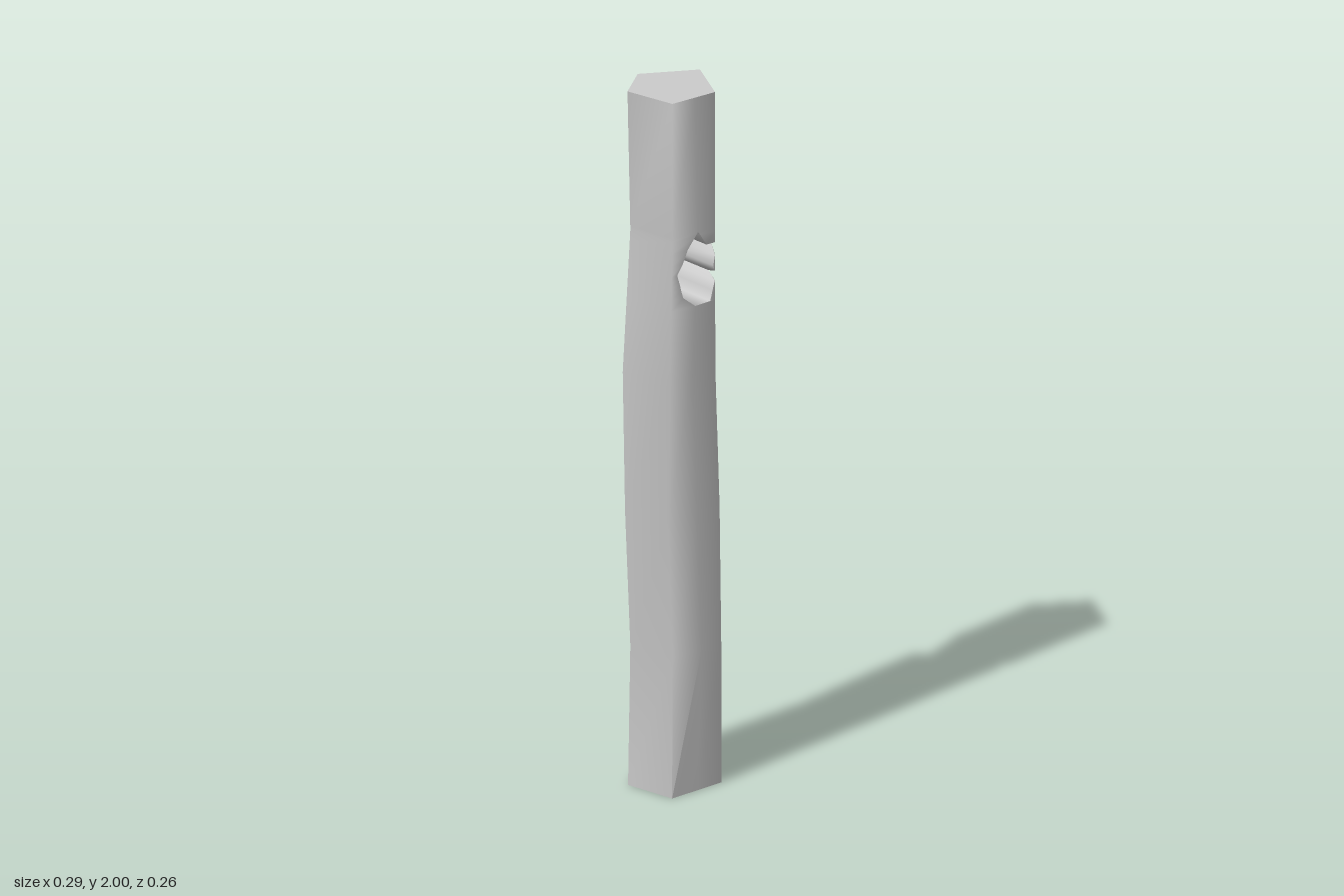
import * as THREE from 'three';
import { toCreasedNormals } from 'three/addons/utils/BufferGeometryUtils.js';

// Five-sided cross-sections [x, z]: front left, front right, right, back, left
const RINGS = [
  [[-0.095, 0.13], [0.09, 0.115], [0.12, -0.03], [0, -0.12], [-0.118, -0.03]],
  [[-0.085, 0.12], [0.09, 0.115], [0.14, -0.04], [0.02, -0.13], [-0.11, -0.03]],
  [[-0.1, 0.12], [0.08, 0.12], [0.132, -0.04], [0, -0.105], [-0.137, -0.02]],
  [[-0.095, 0.12], [0.065, 0.12], [0.092, -0.045], [-0.015, -0.115], [-0.145, -0.02]],
  [[-0.09, 0.125], [0.06, 0.125], [0.12, -0.04], [0, -0.12], [-0.11, -0.03]],
  [[-0.09, 0.125], [0.06, 0.125], [0.143, -0.04], [-0.01, -0.12], [-0.12, -0.03]],
];
const STEP = 0.4;

// Ragged hole, bottom to top: [y, left x, right x]
const HOLE = [
  [1.4, -0.01, 0.045], [1.43, -0.05, 0.053], [1.455, -0.058, 0.06],
  [1.47, -0.062, 0.075], [1.485, -0.067, 0.06], [1.5, -0.072, 0.055],
  [1.53, -0.052, 0.06], [1.563, -0.037, 0.074], [1.567, -0.035, 0.03],
  [1.6, -0.008, 0.008],
];
const HOLE_BOTTOM = 1.398, HOLE_TOP = 1.61;

function ringAt(y) {
  const i = Math.min(Math.floor(y / STEP + 1e-6), RINGS.length - 2);
  const t = y / STEP - i;
  return RINGS[i].map((p, k) => p.map((v, c) => v + (RINGS[i + 1][k][c] - v) * t));
}

// Point on the edge a-b at a given x
const onEdge = (a, b, x) => [x, a[1] + ((b[1] - a[1]) * (x - a[0])) / (b[0] - a[0])];

// One level of the post, split into a left and a right loop around the hole
function makeRow(y, x0, x1) {
  const [fl, fr, r, b, l] = ringAt(y);
  const xl = Math.min(x0 ?? b[0], b[0]);
  const xr = Math.max(x1 ?? b[0], b[0]);
  const cornerCut = xr > fr[0];
  const frontCut = cornerCut ? onEdge(fr, r, xr) : onEdge(fl, fr, xr);
  const lift = (p) => new THREE.Vector3(p[0], y, p[1]);
  return {
    y,
    left: [onEdge(l, b, xl), l, fl, onEdge(fl, fr, xl)].map(lift),
    right: [frontCut, cornerCut ? frontCut : fr, r, onEdge(b, r, xr)].map(lift),
  };
}

function postGeometry() {
  const positions = [];
  const tri = (a, b, c) => {
    const area = b.clone().sub(a).cross(c.clone().sub(a)).length();
    if (area > 1e-9) for (const p of [a, b, c]) positions.push(p.x, p.y, p.z);
  };

  const rows = [0, 0.4, 0.8, 1.2, HOLE_BOTTOM, HOLE_TOP, 2].map((y) => makeRow(y));
  rows.push(...HOLE.map((h) => makeRow(...h)));
  rows.sort((a, b) => a.y - b.y);

  // Sides, with tunnel walls only along the hole
  for (let i = 0; i < rows.length - 1; i++) {
    const low = rows[i], high = rows[i + 1];
    const inHole = low.y >= HOLE_BOTTOM && high.y <= HOLE_TOP;
    for (const side of ['left', 'right']) {
      const p = low[side], q = high[side];
      for (let k = 0; k < (inHole ? 4 : 3); k++) {
        const n = (k + 1) % 4;
        tri(p[k], p[n], q[n]);
        tri(p[k], q[n], q[k]);
      }
    }
  }

  // End caps
  for (const [row, up] of [[rows[0], false], [rows[rows.length - 1], true]]) {
    for (const loop of [row.left, row.right]) {
      for (let k = 1; k < 3; k++) {
        if (up) tri(loop[0], loop[k], loop[k + 1]);
        else tri(loop[0], loop[k + 1], loop[k]);
      }
    }
  }

  const geometry = new THREE.BufferGeometry();
  geometry.setAttribute('position', new THREE.Float32BufferAttribute(positions, 3));
  return toCreasedNormals(geometry, 1.48);
}

export function createModel() {
  const group = new THREE.Group();
  group.name = 'woodenPost';
  const material = new THREE.MeshStandardMaterial({ color: 0xcccccc });
  const post = new THREE.Mesh(postGeometry(), material);
  post.name = 'postWithHole';
  group.add(post);
  return group;
}
